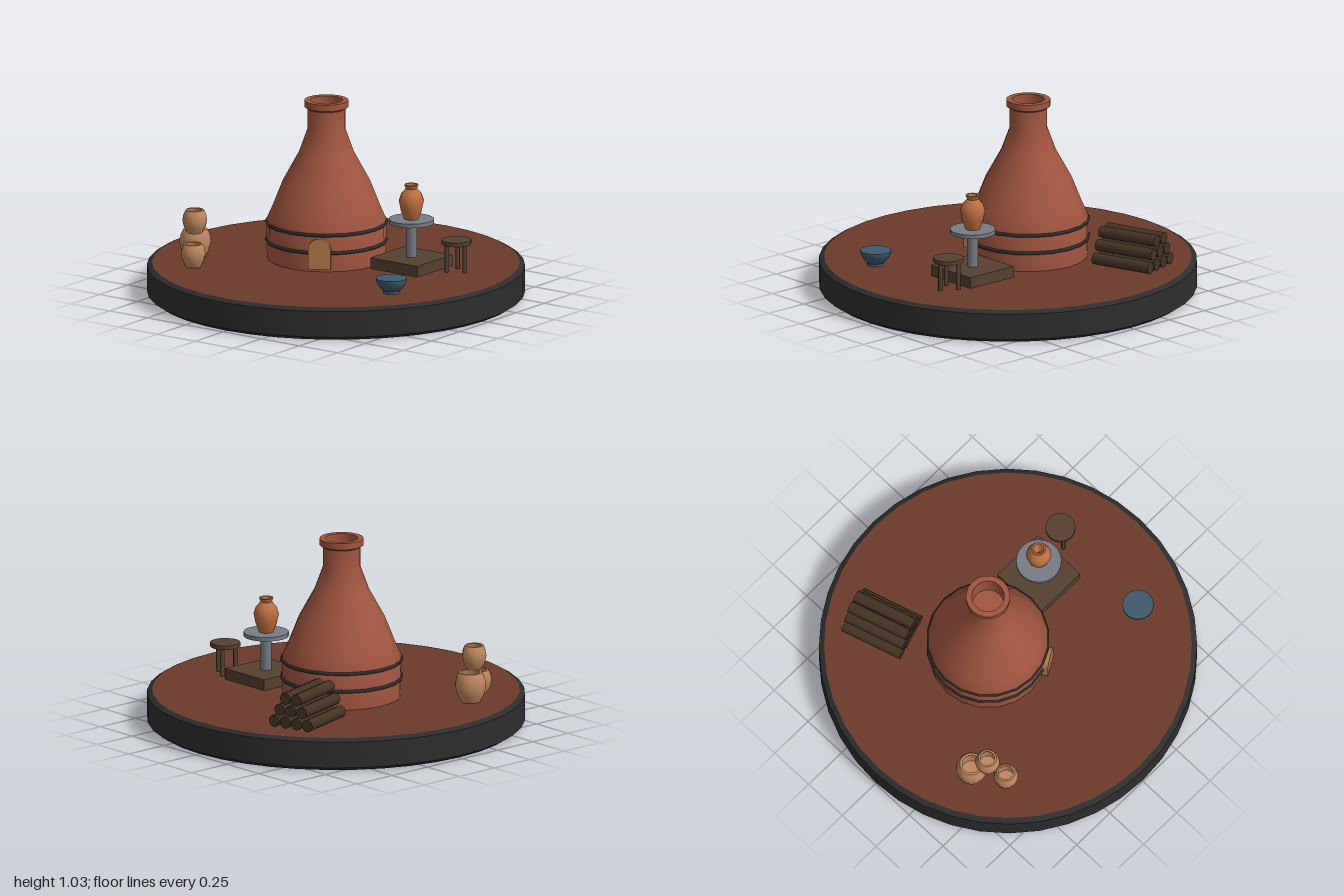
import * as THREE from 'three';
import { toCreasedNormals } from 'three/addons/utils/BufferGeometryUtils.js';

const mat = (name, color, side = THREE.FrontSide) => {
  const m = new THREE.MeshStandardMaterial({ color, side });
  m.name = name;
  return m;
};

export function createModel() {
  const charcoal = mat('charcoal', 0x2d2d2d);
  const earth = mat('earth', 0x6b3a2a);
  const brick = mat('brick', 0xa0553f, THREE.DoubleSide);
  const doorTan = mat('door tan', 0xb07a4a);
  const wood = mat('wood', 0x554030);
  const bark = mat('bark', 0x463425);
  const steel = mat('steel', 0x777c84);
  const clay = mat('wet clay', 0xbd7040, THREE.DoubleSide);
  const pottery = mat('pottery', 0xbd875f, THREE.DoubleSide);
  const glaze = mat('blue glaze', 0x3e5a6c);

  const model = new THREE.Group();
  model.name = 'potteryYard';

  const add = (parent, name, geometry, material, x = 0, y = 0, z = 0) => {
    const mesh = new THREE.Mesh(geometry, material);
    mesh.name = name;
    mesh.position.set(x, y, z);
    parent.add(mesh);
    return mesh;
  };
  const group = (name, x, y, z) => {
    const g = new THREE.Group();
    g.name = name;
    g.position.set(x, y, z);
    model.add(g);
    return g;
  };
  // Profile points are [radius, height], bottom to top
  const lathe = (points, sides, crease = 0.7) => toCreasedNormals(
    new THREE.LatheGeometry(points.map(([r, y]) => new THREE.Vector2(r, y)), sides), crease);

  const GROUND = 0.175;

  // Round base with chamfered edges and an earth floor
  add(model, 'base', lathe([[0, 0], [0.97, 0], [1, 0.02], [1, 0.16], [0.975, 0.175], [0, 0.174]], 40, 0.5), charcoal);
  const floor = add(model, 'floor', new THREE.CircleGeometry(0.972, 40), earth, 0, 0.176, 0);
  floor.rotation.x = -Math.PI / 2;

  // Bottle kiln with a hollow chimney
  const kiln = group('kiln', -0.1, 0, -0.05);
  add(kiln, 'kilnBody', lathe([
    [0.315, GROUND], [0.318, 0.385], [0.283, 0.465], [0.23, 0.6], [0.145, 0.755],
    [0.1, 0.88], [0.1, 0.99], [0.117, 1.0], [0.117, 1.035],
    [0.086, 1.035], [0.086, 0.9], [0, 0.9],
  ], 20), brick);
  for (const y of [0.278, 0.375]) {
    const band = add(kiln, 'kilnBand', new THREE.TorusGeometry(0.317, 0.01, 6, 20), charcoal, 0, y, 0);
    band.rotation.x = Math.PI / 2;
  }

  // Arched kiln door, turned toward the front left
  const arch = new THREE.Shape();
  arch.moveTo(-0.06, 0);
  arch.lineTo(0.06, 0);
  arch.lineTo(0.06, 0.105);
  arch.absarc(0, 0.105, 0.06, 0, Math.PI, false);
  arch.lineTo(-0.06, 0);
  const doorGeometry = new THREE.ExtrudeGeometry(arch, { depth: 0.04, bevelEnabled: false, curveSegments: 8 });
  const doorAngle = Math.PI / 6;
  const door = add(kiln, 'kilnDoor', doorGeometry, doorTan,
    0.302 * Math.sin(doorAngle), 0.196, 0.302 * Math.cos(doorAngle));
  door.rotation.y = doorAngle;

  // Potter's wheel with a fresh vase
  const wheel = group('pottersWheel', 0.385, 0, -0.15);
  add(wheel, 'wheelPlinth', new THREE.BoxGeometry(0.31, 0.06, 0.31), wood, 0, GROUND + 0.03, 0);
  add(wheel, 'wheelPost', new THREE.CylinderGeometry(0.03, 0.03, 0.185, 12), steel, 0, 0.3275, 0);
  add(wheel, 'wheelHead', new THREE.CylinderGeometry(0.12, 0.12, 0.022, 24), steel, 0, 0.429, 0);
  add(wheel, 'vase', lathe([
    [0, 0], [0.038, 0], [0.056, 0.045], [0.067, 0.1], [0.055, 0.137], [0.03, 0.165],
    [0.038, 0.187], [0.028, 0.187], [0.022, 0.165], [0, 0.12],
  ], 16, 0.9), clay, 0, 0.44, 0);

  // Three-legged stool
  const stool = group('stool', 0.625, 0, -0.225);
  add(stool, 'stoolSeat', new THREE.CylinderGeometry(0.08, 0.08, 0.022, 16), wood, 0, 0.336, 0);
  for (let i = 0; i < 3; i++) {
    const a = (i * 2 * Math.PI) / 3;
    add(stool, 'stoolLeg', new THREE.CylinderGeometry(0.012, 0.012, 0.15, 8), wood,
      0.055 * Math.cos(a), GROUND + 0.075, 0.055 * Math.sin(a));
  }

  // Glaze bowl
  add(model, 'glazeBowl', lathe([
    [0, 0], [0.045, 0], [0.045, 0.015], [0.07, 0.042], [0.083, 0.07], [0.083, 0.081], [0, 0.08],
  ], 16), glaze, 0.625, GROUND, 0.35);

  // Stacked fired pots: x, y, z, scale
  const potGeometry = lathe([
    [0, 0], [0.052, 0], [0.075, 0.045], [0.084, 0.09], [0.077, 0.13], [0.063, 0.16],
    [0.05, 0.16], [0.06, 0.13], [0.055, 0.06], [0, 0.05],
  ], 14, 0.8);
  for (const [x, y, z, s] of [
    [-0.652, GROUND, 0.37, 1], [-0.55, GROUND, 0.525, 0.78], [-0.603, 0.335, 0.44, 0.78],
  ]) add(model, 'pot', potGeometry, pottery, x, y, z).scale.setScalar(s);

  // Firewood pile in rows of four, three and two
  const pile = group('firewood', -0.388, GROUND, -0.553);
  pile.rotation.y = 0.3;
  const logGeometry = new THREE.CylinderGeometry(0.033, 0.033, 0.345, 8).rotateX(Math.PI / 2);
  [4, 3, 2].forEach((count, row) => {
    for (let i = 0; i < count; i++) {
      add(pile, 'log', logGeometry, bark, (i - (count - 1) / 2) * 0.068, 0.035 + row * 0.065, 0);
    }
  });

  return model;
}
